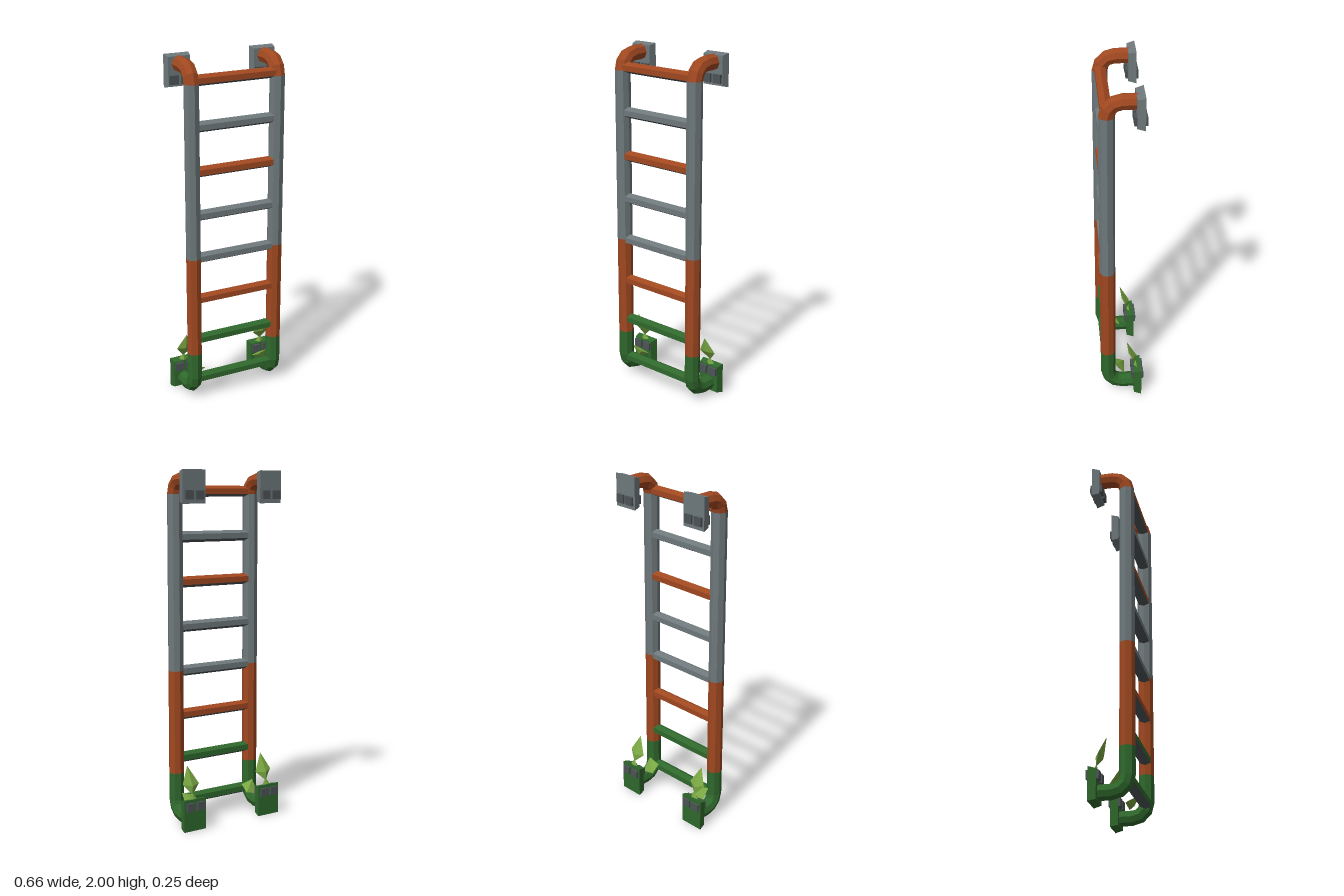
import * as THREE from 'three';
import { ConvexGeometry } from 'three/addons/geometries/ConvexGeometry.js';

const mat = (name, color) => {
  const m = new THREE.MeshStandardMaterial({ color });
  m.name = name;
  return m;
};

// Unshared vertices give crisp facets
const facet = (geo) => {
  const g = geo.index ? geo.toNonIndexed() : geo;
  g.computeVertexNormals();
  return g;
};

const RAIL_X = 0.2575, RAIL_Z = 0.08, RAIL_R = 0.0435;

// Octagonal pipe through stations [z, y, angle of outward direction]
function pipe(stations) {
  const pos = [], idx = [], n = 8;
  for (const [z, y, a] of stations) {
    for (let j = 0; j < n; j++) {
      const t = (j / n) * Math.PI * 2, out = Math.sin(t) * RAIL_R;
      pos.push(Math.cos(t) * RAIL_R, y + Math.sin(a) * out, z + Math.cos(a) * out);
    }
  }
  for (let i = 0; i < stations.length - 1; i++) {
    for (let j = 0; j < n; j++) {
      const a = i * n + j, b = i * n + (j + 1) % n;
      idx.push(a, a + n, b, b, a + n, b + n);
    }
  }
  const g = new THREE.BufferGeometry();
  g.setAttribute('position', new THREE.Float32BufferAttribute(pos, 3));
  g.setIndex(idx);
  return facet(g);
}

// Quarter bend in three steps, from angle a0 to a1 about (z = 0, y)
const bend = (y, a0, a1) => [0, 1, 2, 3].map((k) => {
  const a = a0 + (a1 - a0) * k / 3;
  return [Math.cos(a) * RAIL_Z, y + Math.sin(a) * RAIL_Z, a];
});

export function createModel() {
  const grey = mat('grey metal', 0x6e787b);
  const dark = mat('dark metal', 0x4c5356);
  const rust = mat('rust', 0xa04820);
  const green = mat('mossy green', 0x2f682c);
  const leafGreen = mat('leaf green', 0x7aa843);

  const model = new THREE.Group();
  model.name = 'ladder';
  const add = (parent, name, geo, material, x = 0, y = 0, z = 0) => {
    const m = new THREE.Mesh(geo, material);
    m.name = name;
    m.position.set(x, y, z);
    parent.add(m);
    return m;
  };

  // Rail sections from foot to top
  const H = Math.PI / 2;
  const sections = [
    ['mossyFoot', green, [[-0.09, 0.06, -H], ...bend(0.14, -H, 0), [RAIL_Z, 0.295, 0]]],
    ['rustyRail', rust, [[RAIL_Z, 0.295, 0], [RAIL_Z, 0.885, 0]]],
    ['greyRail', grey, [[RAIL_Z, 0.885, 0], [RAIL_Z, 1.87, 0]]],
    ['rustyTopBend', rust, [...bend(1.87, 0, H), [-0.09, 1.95, H]]],
  ].map(([name, m, st]) => [name, m, pipe(st)]);

  // Mounting plate, narrower at the front
  const plate = new THREE.BoxGeometry(0.146, 0.182, 0.043);
  const p = plate.attributes.position;
  for (let i = 0; i < p.count; i++) {
    if (p.getZ(i) > 0) p.setXY(i, p.getX(i) * 0.88, p.getY(i) * 0.89);
  }
  const plateGeo = facet(plate);
  const boltGeo = new THREE.BoxGeometry(0.051, 0.048, 0.069);

  for (const s of [-1, 1]) {
    const side = new THREE.Group();
    side.name = s > 0 ? 'leftSide' : 'rightSide';
    model.add(side);
    for (const [name, m, geo] of sections) add(side, name, geo, m, s * RAIL_X);

    // Plates with two bolts each
    for (const [name, m, y, boltY] of [['topPlate', grey, 1.909, 1.865], ['bottomPlate', green, 0.091, 0.141]]) {
      add(side, name, plateGeo, m, s * RAIL_X, y, -0.0915);
      for (const d of [-0.0345, 0.0345]) add(side, 'bolt', boltGeo, dark, s * RAIL_X + d, boltY, -0.0905);
    }

    // Points are given for the left side and mirrored
    const leaf = (name, pts) => add(side, name,
      facet(new ConvexGeometry(pts.map(([x, y, z]) => new THREE.Vector3(s * x, y, z)))), leafGreen);

    // Upright leaf growing from the lower plate
    const c = RAIL_X;
    leaf('uprightLeaf', [
      [c, 0.357, -0.03], [c - 0.058, 0.255, -0.062], [c + 0.05, 0.262, -0.062],
      [c, 0.265, -0.042], [c, 0.25, -0.088], [c, 0.2, -0.086],
    ]);
    leaf('leafStem', [
      [c, 0.215, -0.084], [c - 0.03, 0.172, -0.09], [c + 0.03, 0.172, -0.09],
      [c, 0.172, -0.072], [c, 0.172, -0.098],
    ]);

    // Broad leaf tucked inside the lower bend
    leaf('bendLeaf', [
      [0.165, 0.125, -0.022], [0.175, 0.158, 0.041], [0.25, 0.18, 0.038],
      [0.25, 0.105, -0.016], [0.205, 0.152, 0.002], [0.21, 0.115, 0.02],
    ]);
  }

  // Hexagonal rungs with dark undersides
  const rungPart = (faces, start) => {
    const g = new THREE.CylinderGeometry(0.031, 0.031, 0.47, faces, 1, true, start, faces * Math.PI / 3);
    g.rotateZ(Math.PI / 2);
    g.scale(1, 1, 1.1);
    return facet(g);
  };
  const upper = rungPart(4, Math.PI * 11 / 6), lower = rungPart(2, Math.PI * 7 / 6);
  [green, green, rust, grey, grey, rust, grey, rust].forEach((m, i) => {
    const rung = new THREE.Group();
    rung.name = 'rung';
    rung.position.set(0, 0.128 + i * 0.251, RAIL_Z);
    add(rung, 'rungBody', upper, m);
    add(rung, 'rungUnderside', lower, dark);
    model.add(rung);
  });

  return model;
}
